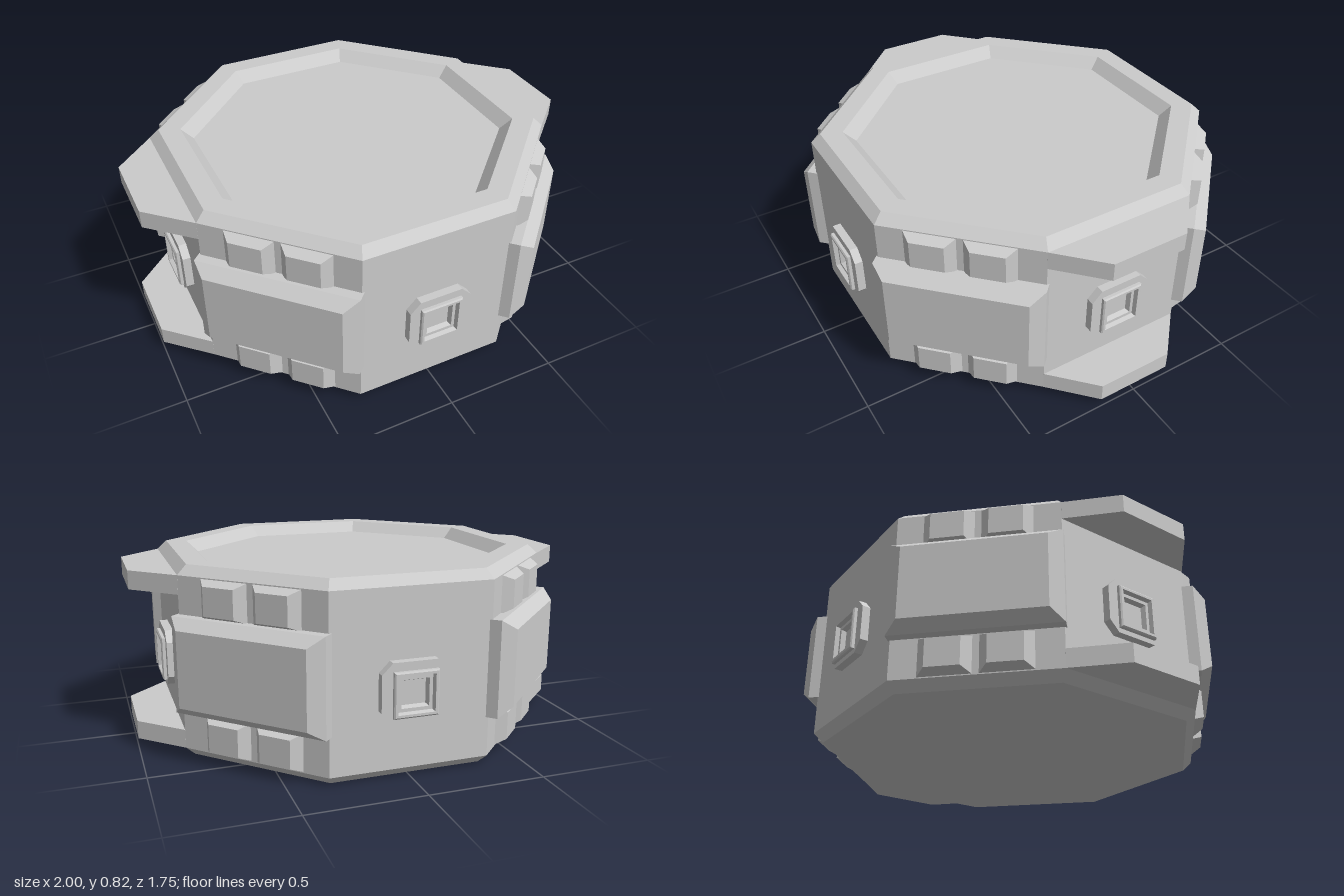
import * as THREE from 'three';

const mat = new THREE.MeshStandardMaterial({ color: 0xcccccc, flatShading: true });

function part(name, geometry, parent) {
  const mesh = new THREE.Mesh(geometry, mat);
  mesh.name = name;
  parent.add(mesh);
  return mesh;
}

// Faceted turned solid; radii are given to the flats, not to the corners
function facetedLathe(profile, sides) {
  const k = 1 / Math.cos(Math.PI / sides);
  const pts = profile.map(([r, h]) => new THREE.Vector2(r * k, h));
  return new THREE.LatheGeometry(pts, sides, Math.PI / sides);
}

// Box from z0 to z1 whose outer (+z) face is inset on each side
function taperedBox(x0, x1, y0, y1, z0, z1, insetX, insetY) {
  const w = x1 - x0, h = y1 - y0;
  const g = new THREE.BoxGeometry(w, h, z1 - z0);
  const p = g.attributes.position;
  for (let i = 0; i < p.count; i++) {
    if (p.getZ(i) > 0) {
      p.setX(i, p.getX(i) * (1 - 2 * insetX / w));
      p.setY(i, p.getY(i) * (1 - 2 * insetY / h));
    }
  }
  g.translate((x0 + x1) / 2, (y0 + y1) / 2, (z0 + z1) / 2);
  return g;
}

function polygon(points) {
  return new THREE.Shape(points.map(([x, y]) => new THREE.Vector2(x, y)));
}

// Cut-corner plate with a square socket in a raised frame, facing +z
function createPort() {
  const port = new THREE.Group();
  port.name = 'port';
  const a = 0.14, b = 0.122, c = 0.045;
  const plate = polygon([[a, c - b], [a, b - c], [a - c, b], [c - a, b],
    [-a, b - c], [-a, c - b], [c - a, -b], [a - c, -b]]);
  const s = 0.085;
  plate.holes.push(polygon([[-s, -s], [-s, s], [s, s], [s, -s]]));
  const plateGeo = new THREE.ExtrudeGeometry(plate, { depth: 0.055, bevelEnabled: false });
  part('portPlate', plateGeo.translate(0, 0.37, 0.8), port);

  const frame = facetedLathe([[0.094, 0.82], [0.094, 0.868], [0.088, 0.873],
    [0.078, 0.873], [0.072, 0.855], [0.058, 0.855], [0.05, 0.835], [0, 0.835]], 4);
  part('portFrame', frame.rotateX(Math.PI / 2).translate(0, 0.362, 0), port);
  return port;
}

// Bumper block with two pairs of small facets above and below it, facing +z
function createCorner() {
  const corner = new THREE.Group();
  corner.name = 'cornerArmor';
  part('bumperBase', taperedBox(-0.348, 0.348, 0.21, 0.62, 0.76, 0.86, 0, 0), corner);
  part('bumperFace', taperedBox(-0.348, 0.348, 0.21, 0.62, 0.86, 0.91, 0.055, 0.043), corner);
  for (const [y0, y1] of [[0.04, 0.21], [0.61, 0.78]]) {
    for (const x0 of [-0.235, 0.005]) {
      part('facetStud', taperedBox(x0, x0 + 0.23, y0, y1, 0.81, 0.862, 0.045, 0.025), corner);
    }
  }
  return corner;
}

export function createModel() {
  const model = new THREE.Group();
  model.name = 'octagonalContainer';

  // Chamfered octagonal body with a recessed top
  part('body', facetedLathe([[0, 0], [0.78, 0], [0.82, 0.04], [0.82, 0.78], [0.78, 0.82],
    [0.69, 0.82], [0.64, 0.77], [0, 0.77]], 8), model);

  // Ports on the four main sides, armour on the four diagonals
  for (let i = 0; i < 4; i++) {
    const port = createPort();
    port.rotation.y = i * Math.PI / 2;
    const corner = createCorner();
    corner.rotation.y = (i + 0.5) * Math.PI / 2;
    model.add(port, corner);
  }

  // Upper and lower trapezoid ledges on the left and right
  const ledge = polygon([[0.8, -0.34], [0.82, -0.34], [1, -0.17], [1, 0.17], [0.82, 0.34], [0.8, 0.34]]);
  for (const turn of [0, Math.PI]) {
    for (const y of [0.04, 0.7]) {
      const g = new THREE.ExtrudeGeometry(ledge, { depth: 0.08, bevelEnabled: false });
      g.rotateX(-Math.PI / 2).translate(0, y, 0).rotateY(turn);
      part(turn ? 'rightLedge' : 'leftLedge', g, model);
    }
  }
  return model;
}
